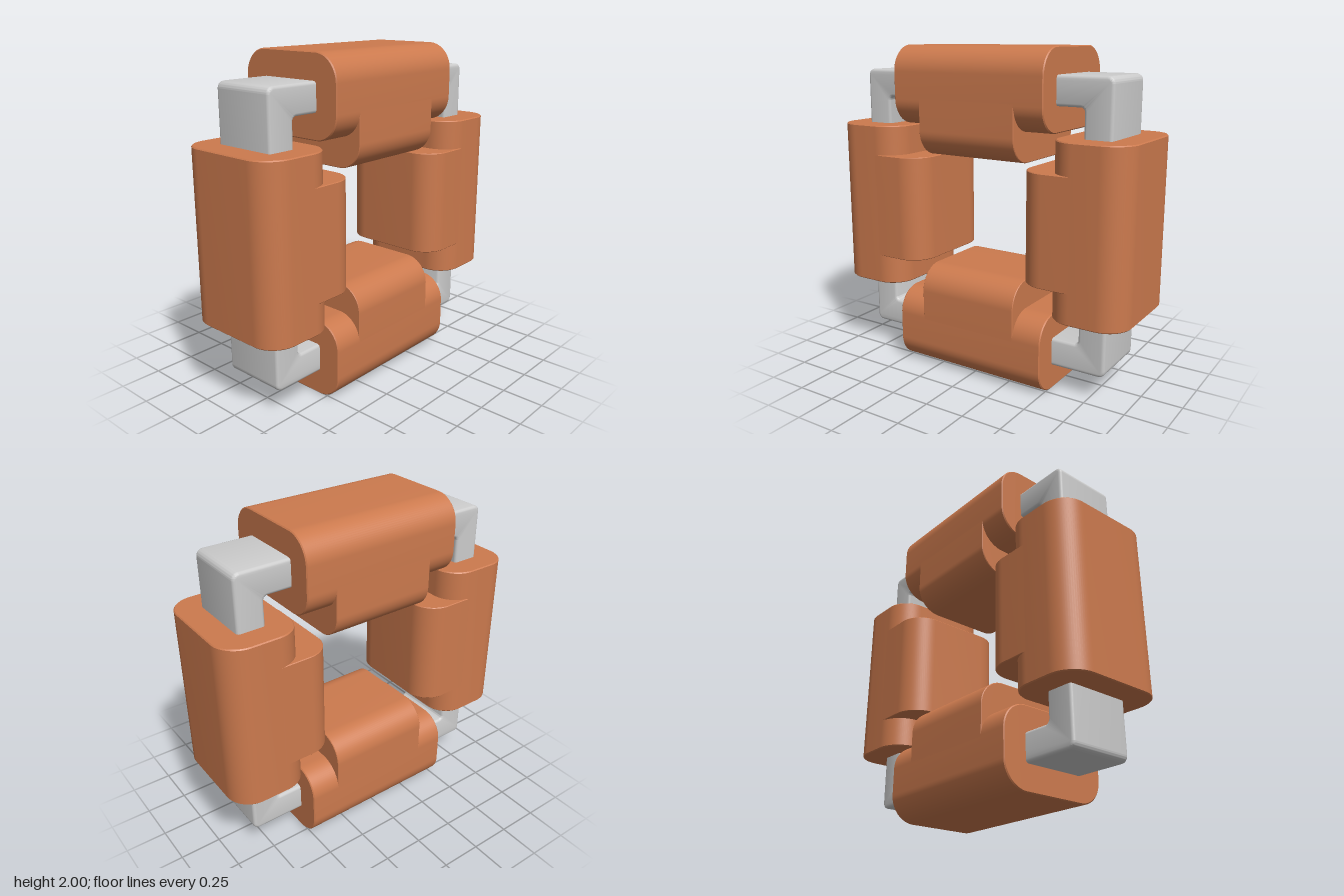
import * as THREE from 'three';
import { toCreasedNormals } from 'three/addons/utils/BufferGeometryUtils.js';

const copper = new THREE.MeshStandardMaterial({ color: 0xcc7a4e });
copper.name = 'copper winding';
const steel = new THREE.MeshStandardMaterial({ color: 0xcccccc });
steel.name = 'grey core';

// Rectangle from (-w, y0) to (w, y1) with separate bottom and top corner radii
function roundedRect(path, w, y0, y1, rBottom, rTop) {
  const q = Math.PI / 2;
  path.moveTo(-w + rBottom, y0);
  path.lineTo(w - rBottom, y0);
  if (rBottom) path.absarc(w - rBottom, y0 + rBottom, rBottom, -q, 0, false);
  path.lineTo(w, y1 - rTop);
  if (rTop) path.absarc(w - rTop, y1 - rTop, rTop, 0, q, false);
  path.lineTo(-w + rTop, y1);
  if (rTop) path.absarc(-w + rTop, y1 - rTop, rTop, q, 2 * q, false);
  path.lineTo(-w, y0 + rBottom);
  if (rBottom) path.absarc(-w + rBottom, y0 + rBottom, rBottom, 2 * q, 3 * q, false);
  return path;
}

// Extrusion centred on z, with a small bevel that stays inside the given size
function extrude(shape, length, bevel, bevelSegments) {
  const geometry = new THREE.ExtrudeGeometry(shape, {
    depth: length - 2 * bevel,
    bevelEnabled: true,
    bevelThickness: bevel,
    bevelSize: bevel,
    bevelOffset: -bevel,
    bevelSegments,
    curveSegments: 10,
  });
  geometry.translate(0, 0, -(length - 2 * bevel) / 2);
  return toCreasedNormals(geometry, 0.6);
}

export function createModel() {
  const model = new THREE.Group();
  model.name = 'toroidalTransformer';

  // Square ring core
  const ring = roundedRect(new THREE.Shape(), 0.848, -0.848, 0.848, 0.04, 0.04);
  ring.holes.push(roundedRect(new THREE.Path(), 0.678, -0.678, 0.678, 0.025, 0.025));
  const core = new THREE.Mesh(extrude(ring, 0.405, 0.018, 3), steel);
  core.name = 'core';
  core.position.y = 1;
  model.add(core);

  // Long winding, and the shorter extra layer facing the middle of the ring
  const outer = roundedRect(new THREE.Shape(), 0.35, 0.527, 1, 0.155, 0.155);
  const inner = roundedRect(new THREE.Shape(), 0.35, 0.348, 0.69, 0.155, 0);
  const outerGeometry = extrude(outer, 1.02, 0.006, 1).rotateY(Math.PI / 2);
  const innerGeometry = extrude(inner, 0.655, 0.004, 1).rotateY(Math.PI / 2);

  // One coil on each side of the ring
  ['topCoil', 'leftCoil', 'bottomCoil', 'rightCoil'].forEach((name, i) => {
    const coil = new THREE.Group();
    coil.name = name;
    const winding = new THREE.Mesh(outerGeometry, copper);
    winding.name = 'longWinding';
    const layer = new THREE.Mesh(innerGeometry, copper);
    layer.name = 'innerLayer';
    coil.add(winding, layer);
    coil.position.y = 1;
    coil.rotation.z = -i * Math.PI / 2;
    model.add(coil);
  });

  return model;
}
